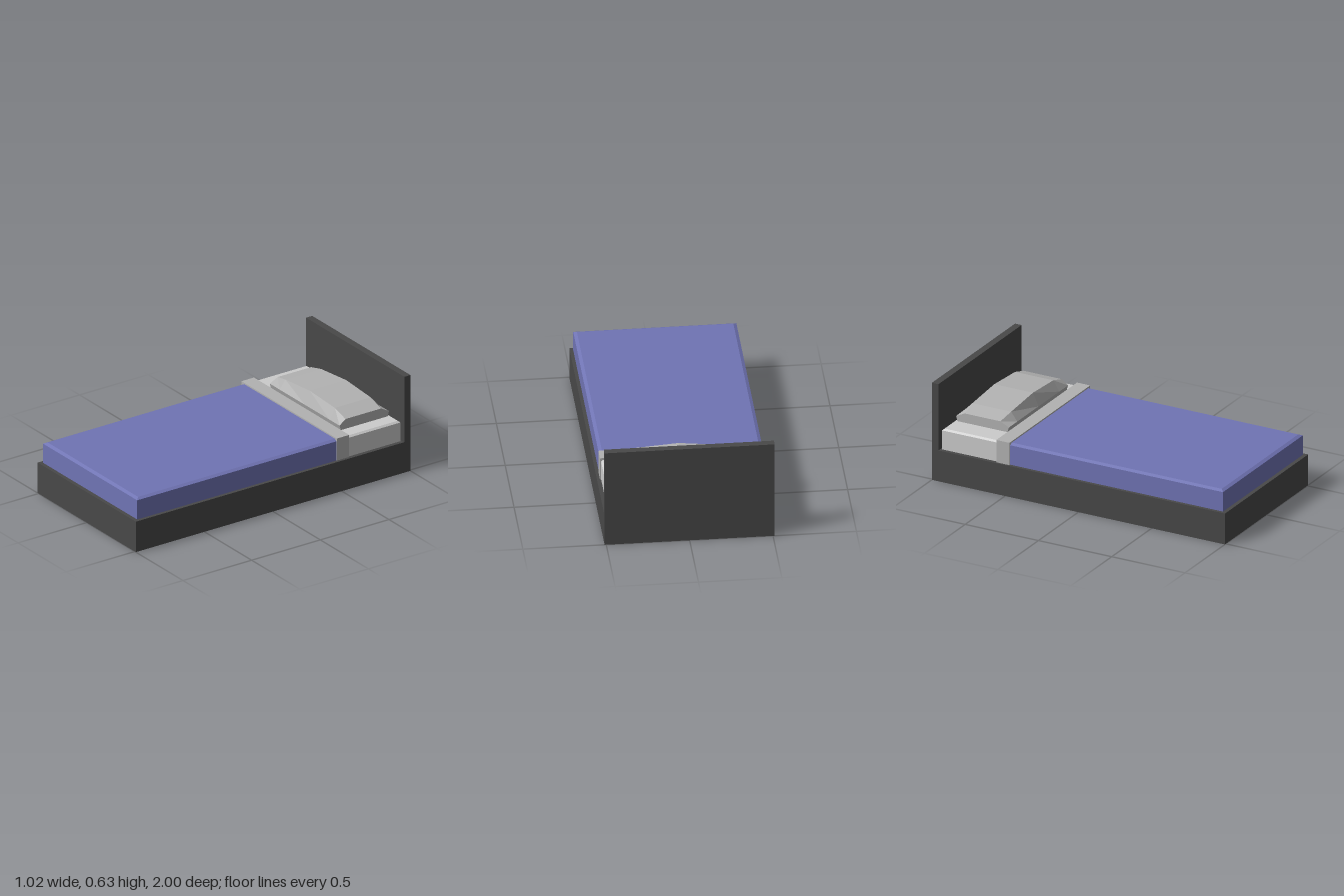
import * as THREE from 'three';

const material = (color) => new THREE.MeshStandardMaterial({ color, flatShading: true });

// Closed solid through matching rings of [x, y, z]; rings run counter-clockwise seen from the last one
function loft(rings) {
  const n = rings[0].length;
  const last = (rings.length - 1) * n;
  const index = [];
  for (let r = 0; r < rings.length - 1; r++) {
    for (let i = 0; i < n; i++) {
      const a = r * n + i, b = r * n + (i + 1) % n;
      index.push(a, b, b + n, a, b + n, a + n);
    }
  }
  for (let i = 1; i < n - 1; i++) {
    index.push(0, i + 1, i, last, last + i, last + i + 1);
  }
  const geometry = new THREE.BufferGeometry();
  geometry.setAttribute('position', new THREE.Float32BufferAttribute(rings.flat(2), 3));
  geometry.setIndex(index);
  const flat = geometry.toNonIndexed();
  flat.computeVertexNormals();
  return flat;
}

// Block with a small bevel around its upper edge
function softBlock(x0, x1, y0, y1, z0, z1, inset, drop) {
  const ring = (y, d) => [
    [x0 + d, y, z1 - d], [x1 - d, y, z1 - d], [x1 - d, y, z0 + d], [x0 + d, y, z0 + d],
  ];
  return loft([ring(y0, 0), ring(y1 - drop, 0), ring(y1, inset)]);
}

function block(x0, x1, y0, y1, z0, z1) {
  return new THREE.BoxGeometry(x1 - x0, y1 - y0, z1 - z0)
    .translate((x0 + x1) / 2, (y0 + y1) / 2, (z0 + z1) / 2);
}

export function createModel() {
  const bed = new THREE.Group();
  bed.name = 'bed';
  const wood = material(0x484848);
  const sheet = material(0xcccccc);
  const linen = material(0xb2b2b2);
  const cloth = material(0x7074b4);

  const add = (name, geometry, mat) => {
    const mesh = new THREE.Mesh(geometry, mat);
    mesh.name = name;
    bed.add(mesh);
  };

  // Frame
  add('base', block(-0.51, 0.51, 0, 0.2, -0.955, 1), wood);
  add('headboard', block(-0.51, 0.51, 0, 0.63, -1, -0.955), wood);

  // Bedding
  add('mattress', softBlock(-0.485, 0.485, 0.2, 0.333, -0.945, -0.5, 0.012, 0.01), sheet);
  add('blanket', softBlock(-0.489, 0.489, 0.2, 0.336, -0.5, 0.975, 0.02, 0.01), cloth);
  add('foldedSheet', block(-0.498, 0.492, 0.2, 0.345, -0.567, -0.477), linen);

  // Pillow: sections along x with [x, crown height, front edge of the crown]
  const sections = [
    [-0.338, 0.393, -0.628],
    [-0.235, 0.42, -0.612],
    [0.025, 0.446, -0.608],
    [0.28, 0.43, -0.611],
    [0.387, 0.397, -0.613],
  ];
  add('pillow', loft(sections.map(([x, top, front]) => [
    [x, 0.33, -0.58], [x, 0.33, -0.92], [x, 0.365, -0.93],
    [x, top, -0.872], [x, top, front], [x, 0.365, -0.57],
  ])), linen);

  return bed;
}
